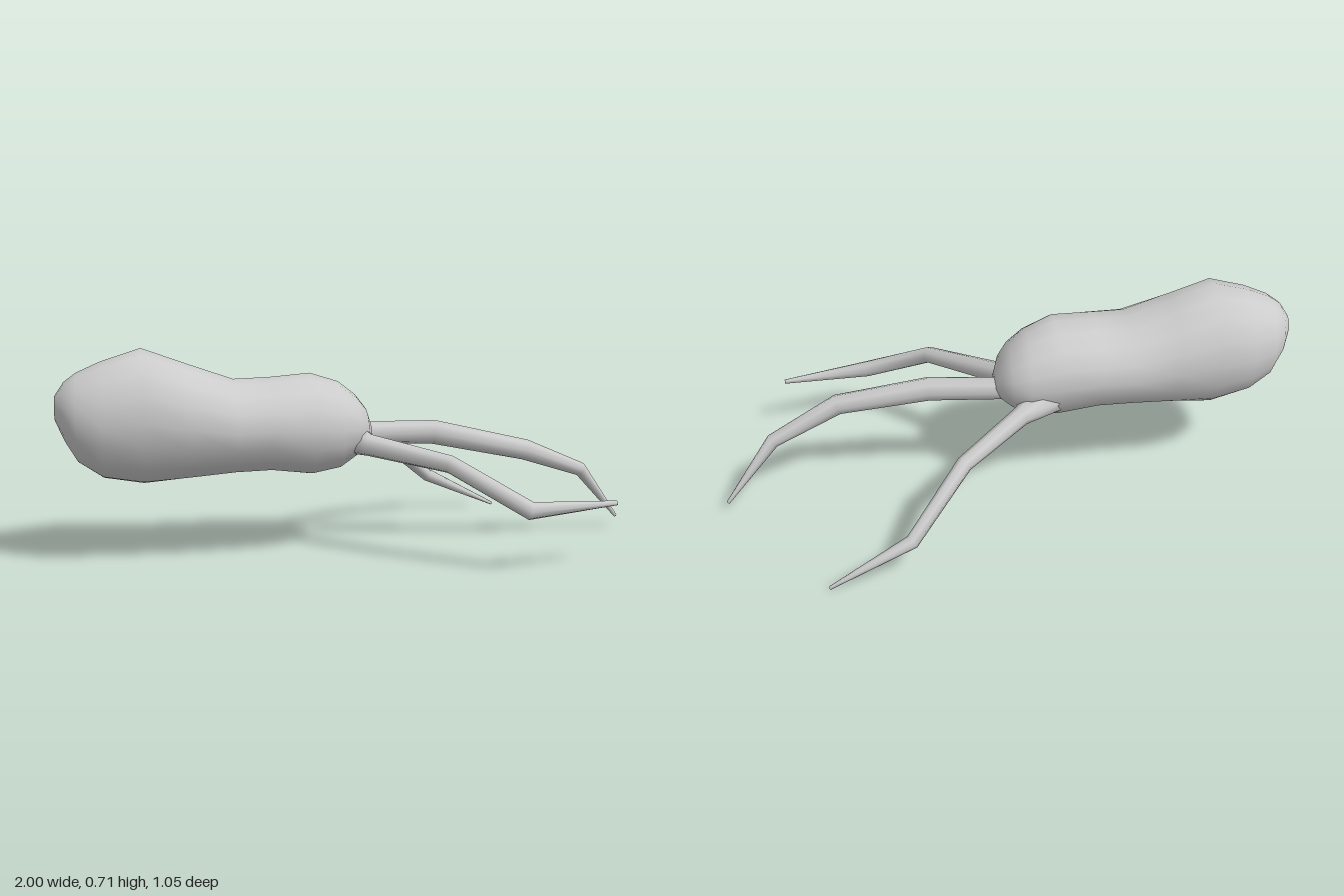
import * as THREE from 'three';

const material = new THREE.MeshStandardMaterial({ color: 0xcccccc });

// Skin a list of closed rings of points and cap both ends; normals are smooth.
function loft(rings) {
  const n = rings[0].length, last = (rings.length - 1) * n;
  const points = rings.flat(), index = [];
  for (let i = 0; i < rings.length - 1; i++) {
    for (let j = 0; j < n; j++) {
      const a = i * n + j, b = i * n + (j + 1) % n;
      index.push(a, b, b + n, a, b + n, a + n);
    }
  }
  for (let j = 1; j < n - 1; j++) {
    index.push(0, j + 1, j, last, last + j, last + j + 1);
  }
  const geometry = new THREE.BufferGeometry().setFromPoints(points);
  geometry.setIndex(index);
  geometry.computeVertexNormals();
  return geometry;
}

// Ring of points around a centre, spanned by two radius vectors.
function ring(centre, u, v, sides) {
  return Array.from({ length: sides }, (_, j) => {
    const a = (j / sides) * Math.PI * 2;
    return centre.clone().addScaledVector(u, Math.cos(a)).addScaledVector(v, Math.sin(a));
  });
}

// Body sections along x: [x, bottom, top, zMin, zMax]
const bodySections = [
  [-1.0, 0.48, 0.56, 0.06, 0.14],
  [-0.97, 0.41, 0.605, 0.0, 0.195],
  [-0.93, 0.34, 0.635, -0.04, 0.23],
  [-0.85, 0.285, 0.67, -0.075, 0.26],
  [-0.72, 0.26, 0.71, -0.11, 0.27],
  [-0.57, 0.273, 0.655, -0.113, 0.272],
  [-0.42, 0.288, 0.602, -0.117, 0.272],
  [-0.3, 0.29, 0.605, -0.12, 0.262],
  [-0.16, 0.27, 0.615, -0.124, 0.24],
  [-0.06, 0.285, 0.582, -0.125, 0.2],
  [0.0, 0.325, 0.535, -0.105, 0.165],
  [0.035, 0.355, 0.49, -0.07, 0.12],
  [0.055, 0.385, 0.435, -0.03, 0.06],
];

function bodyGeometry() {
  return loft(bodySections.map(([x, y0, y1, z0, z1]) => ring(
    new THREE.Vector3(x, (y0 + y1) / 2, (z0 + z1) / 2),
    new THREE.Vector3(0, (y1 - y0) / 2, 0),
    new THREE.Vector3(0, 0, (z1 - z0) / 2), 16)));
}

// Jointed tapering leg; joints are [x, y, z, radius] with mitred rings.
function legGeometry(joints) {
  const path = joints.map(([x, y, z]) => new THREE.Vector3(x, y, z));
  const up = new THREE.Vector3(0, 1, 0);
  return loft(path.map((p, i) => {
    const into = p.clone().sub(path[Math.max(i - 1, 0)]).normalize();
    const out = path[Math.min(i + 1, path.length - 1)].clone().sub(p).normalize();
    const d = into.add(out).normalize();
    const u = up.clone().addScaledVector(d, -up.dot(d)).normalize();
    const v = d.clone().cross(u);
    const r = joints[i][3];
    return ring(p, u.multiplyScalar(r), v.multiplyScalar(r), 8);
  }));
}

// Each leg starts inside the body with a flared root.
const legs = {
  leftMiddleLeg: [
    [-0.06, 0.42, 0.01, 0.08], [0.05, 0.395, 0.0, 0.04], [0.28, 0.395, 0.025, 0.042],
    [0.6, 0.33, 0.065, 0.036], [0.83, 0.24, 0.0, 0.025], [1.0, 0.045, -0.075, 0.006],
  ],
  frontLeg: [
    [-0.08, 0.42, 0.06, 0.08], [0.03, 0.375, 0.135, 0.038], [0.26, 0.34, 0.345, 0.03],
    [0.49, 0.208, 0.49, 0.03], [0.8, 0.21, 0.432, 0.008],
  ],
  backLeg: [
    [-0.13, 0.39, -0.05, 0.07], [-0.02, 0.355, -0.125, 0.034], [0.19, 0.3, -0.3, 0.028],
    [0.38, 0.14, -0.485, 0.024], [0.655, 0.007, -0.524, 0.006],
  ],
};

export function createModel() {
  const model = new THREE.Group();
  const add = (name, geometry) => {
    const mesh = new THREE.Mesh(geometry, material);
    mesh.name = name;
    model.add(mesh);
  };
  add('body', bodyGeometry());
  for (const [name, joints] of Object.entries(legs)) add(name, legGeometry(joints));
  return model;
}
